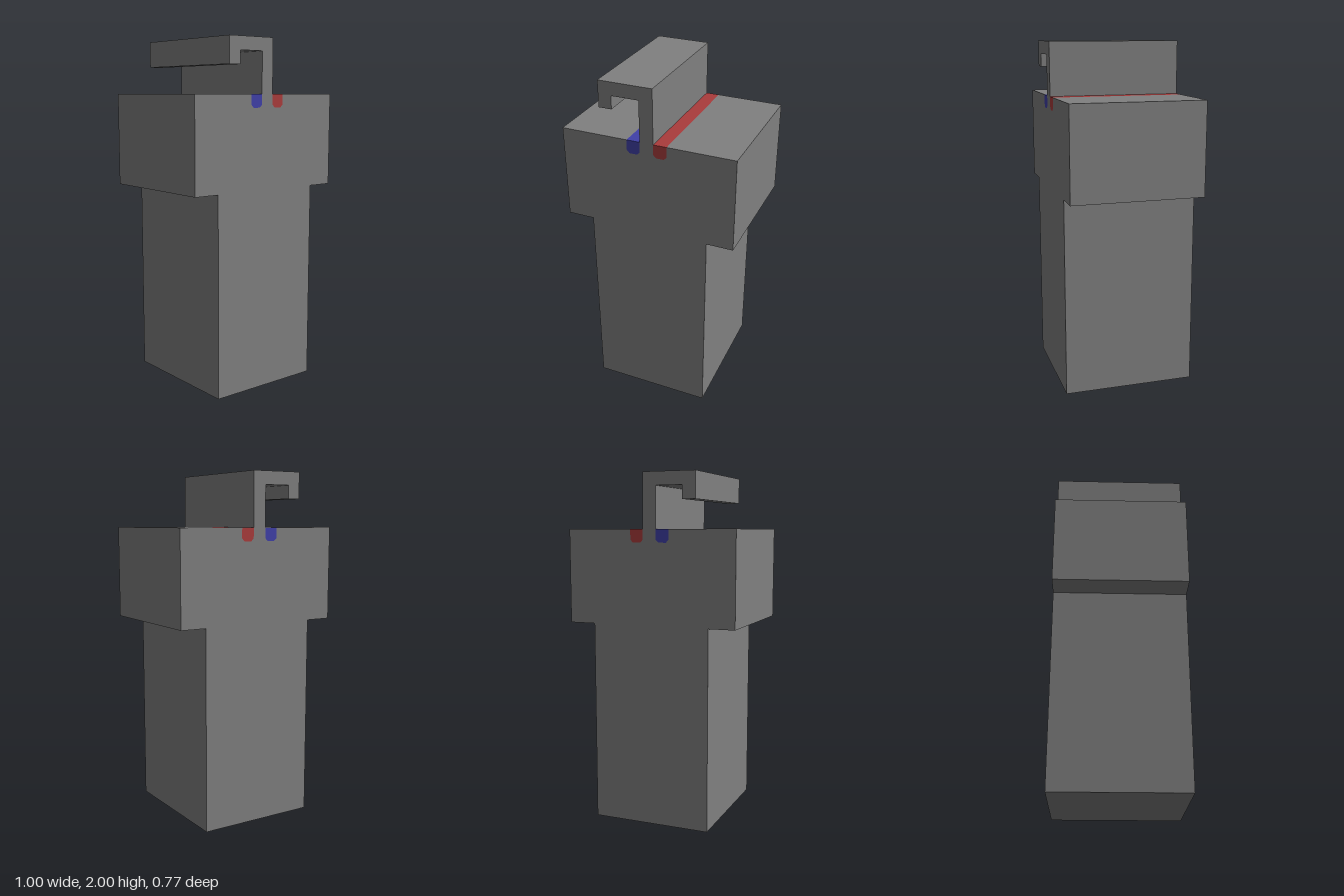
import * as THREE from 'three';

const DEPTH = 0.768;

// Extrude an x/y outline along z, centred on z = 0
function prism(name, points, material) {
  const shape = new THREE.Shape(points.map(([x, y]) => new THREE.Vector2(x, y)));
  const geometry = new THREE.ExtrudeGeometry(shape, { depth: DEPTH, bevelEnabled: false });
  geometry.translate(0, 0, -DEPTH / 2);
  const mesh = new THREE.Mesh(geometry, material);
  mesh.name = name;
  return mesh;
}

export function createModel() {
  const grey = new THREE.MeshStandardMaterial({ color: 0x808080 });
  grey.name = 'grey';
  const red = new THREE.MeshStandardMaterial({ color: 0xaa3c3c });
  red.name = 'red';
  const blue = new THREE.MeshStandardMaterial({ color: 0x4040a8 });
  blue.name = 'blue';

  const group = new THREE.Group();
  group.name = 'hookedProfile';

  // Heights and widths
  const shoulder = 1.155, top = 1.692, floor = 1.617;
  const inner = 0.039, outer = 0.115, chamfer = 0.016;

  // Groove section beside the stem, from inner top edge to outer top edge
  const groove = (side) => [
    [inner, top], [inner, floor + chamfer], [inner + chamfer, floor],
    [outer - chamfer, floor], [outer, floor + chamfer], [outer, top],
  ].map(([x, y]) => [x * side, y]);

  // Pedestal, head and hook share one continuous section
  group.add(prism('bodyWithHook', [
    [-0.347, 0], [0.347, 0], [0.347, shoulder], [0.5, shoulder], [0.5, top],
    ...groove(1).reverse(),
    [inner, 2], [-0.27, 2], [-0.27, 1.85], [-0.195, 1.85], [-0.195, 1.925], [-inner, 1.925],
    ...groove(-1),
    [-0.5, top], [-0.5, shoulder], [-0.347, shoulder],
  ], grey));

  // Coloured inlays fill the grooves flush with the head
  group.add(prism('leftInlay', groove(1), red));
  group.add(prism('rightInlay', groove(-1), blue));

  return group;
}
